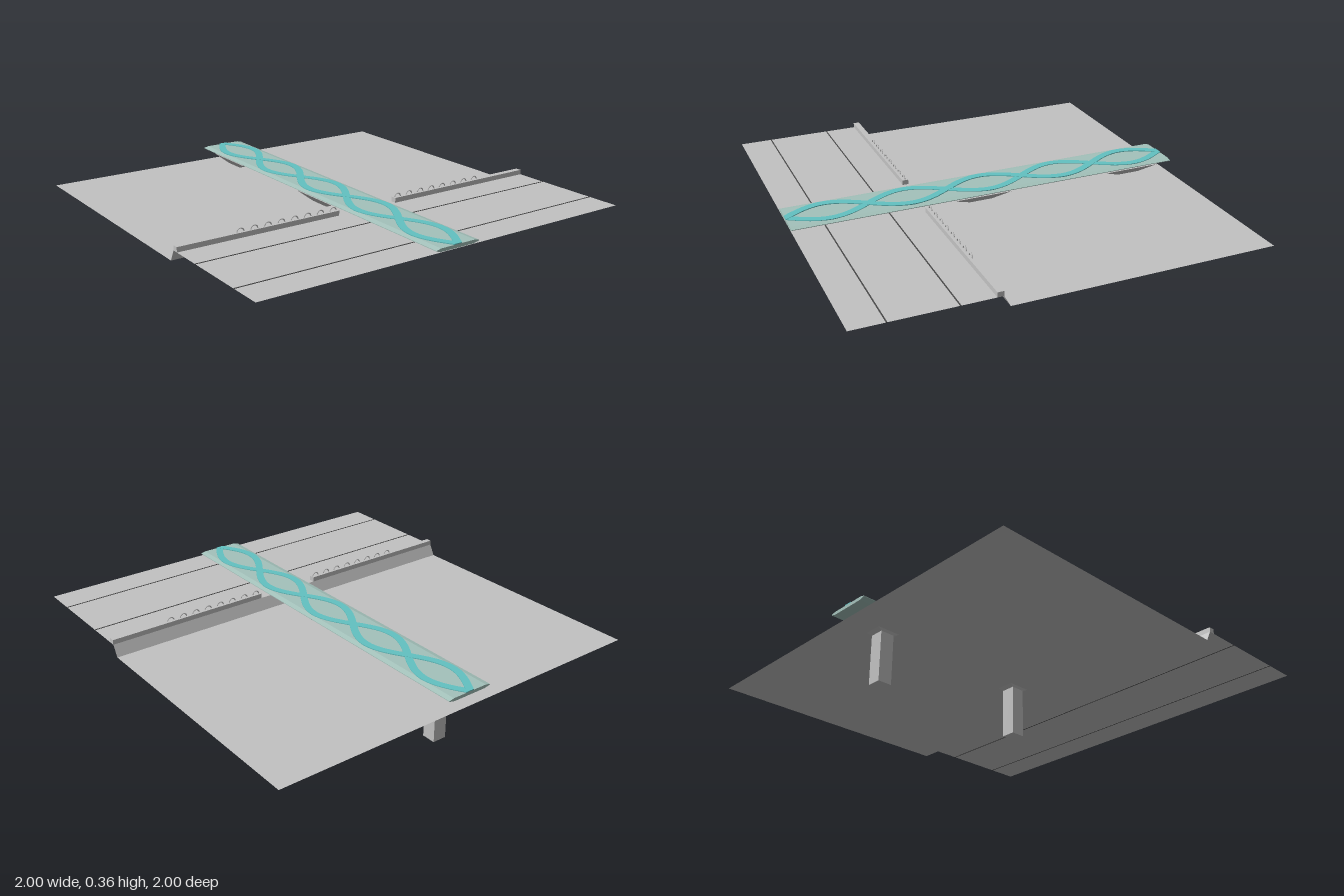
import * as THREE from 'three';

const concrete = new THREE.MeshStandardMaterial({ color: 0xc2c2c2, side: THREE.DoubleSide });
concrete.name = 'concrete grey';
const seam = new THREE.MeshStandardMaterial({ color: 0x4a4a4a });
seam.name = 'seam dark grey';
const deckTint = new THREE.MeshStandardMaterial({ color: 0xa4c2bb });
deckTint.name = 'pale teal';
const teal = new THREE.MeshStandardMaterial({ color: 0x62c2c2 });
teal.name = 'teal';

function add(parent, name, geometry, material, x = 0, y = 0, z = 0) {
  const mesh = new THREE.Mesh(geometry, material);
  mesh.name = name;
  mesh.position.set(x, y, z);
  parent.add(mesh);
  return mesh;
}

const box = (w, h, d) => new THREE.BoxGeometry(w, h, d);

// Sheet across the full width between two (z, y) edges
function sheet(z0, y0, z1, y1) {
  const g = new THREE.PlaneGeometry(2, 1);
  g.rotateX(-Math.PI / 2);
  const p = g.attributes.position;
  for (let i = 0; i < p.count; i++) {
    const front = p.getZ(i) > 0;
    p.setZ(i, front ? z1 : z0);
    p.setY(i, front ? y1 : y0);
  }
  g.computeVertexNormals();
  return g;
}

// Pier head flaring from the column to a wide top
function flaredHead() {
  const g = box(2, 1, 2).toNonIndexed();
  const p = g.attributes.position;
  for (let i = 0; i < p.count; i++) {
    const top = p.getY(i) > 0;
    p.setXYZ(i, p.getX(i) * (top ? 0.08 : 0.035), top ? 0.298 : 0.25, p.getZ(i) * (top ? 0.15 : 0.035));
  }
  g.computeVertexNormals();
  return g;
}

// Wavy ribbon running the length of the deck
function ribbon(sign) {
  const left = [], right = [], n = 100, half = 0.018, k = Math.PI / 0.4;
  for (let i = 0; i <= n; i++) {
    const z = -1 + 2 * i / n;
    const x = sign * 0.08 * Math.cos(k * z);
    const slope = -sign * 0.08 * k * Math.sin(k * z);
    const w = half * Math.hypot(1, slope);
    left.push(new THREE.Vector2(x - w, z));
    right.unshift(new THREE.Vector2(x + w, z));
  }
  const g = new THREE.ExtrudeGeometry(new THREE.Shape([...left, ...right]), { depth: 0.006, bevelEnabled: false });
  g.rotateX(-Math.PI / 2);
  return g;
}

export function createModel() {
  const model = new THREE.Group();
  model.name = 'footbridge over embankment';

  // Lower ground, embankment slope and raised road
  add(model, 'lowerGround', sheet(-1, 0.26, 0.31, 0.26), concrete);
  add(model, 'embankment', sheet(0.31, 0.26, 0.34, 0.315), concrete);
  add(model, 'road', sheet(0.34, 0.315, 1, 0.315), concrete);
  for (const z of [0.53, 0.84]) add(model, 'roadSeam', box(2, 0.003, 0.006), seam, 0, 0.315, z);

  // Parapets with a row of small hoops on each side
  for (const side of [-1, 1]) {
    add(model, 'parapet', box(0.835, 0.024, 0.03), concrete, side * 0.5825, 0.327, 0.355);
    for (let i = 0; i < 8; i++) {
      add(model, 'hoop', new THREE.TorusGeometry(0.018, 0.003, 6, 12, Math.PI), concrete,
        side * (0.19 + i * 0.0705), 0.337, 0.355);
    }
  }

  // Piers
  for (const z of [0.036, -0.797]) {
    const pier = new THREE.Group();
    pier.name = 'pier';
    pier.position.z = z;
    add(pier, 'column', box(0.07, 0.25, 0.07), concrete, 0, 0.125, 0);
    add(pier, 'pierHead', flaredHead(), concrete);
    model.add(pier);
  }

  // Deck with bevelled edges
  const section = new THREE.Shape([
    [-0.09, 0.317], [0.09, 0.317], [0.12, 0.324], [0.12, 0.327],
    [0.095, 0.333], [-0.095, 0.333], [-0.12, 0.327], [-0.12, 0.324],
  ].map(([x, y]) => new THREE.Vector2(x, y)));
  add(model, 'deck', new THREE.ExtrudeGeometry(section, { depth: 2, bevelEnabled: false }), deckTint, 0, 0, -1);

  // Interwoven ribbons on the deck
  add(model, 'ribbonA', ribbon(1), teal, 0, 0.330, 0);
  add(model, 'ribbonB', ribbon(-1), teal, 0, 0.331, 0);

  return model;
}
